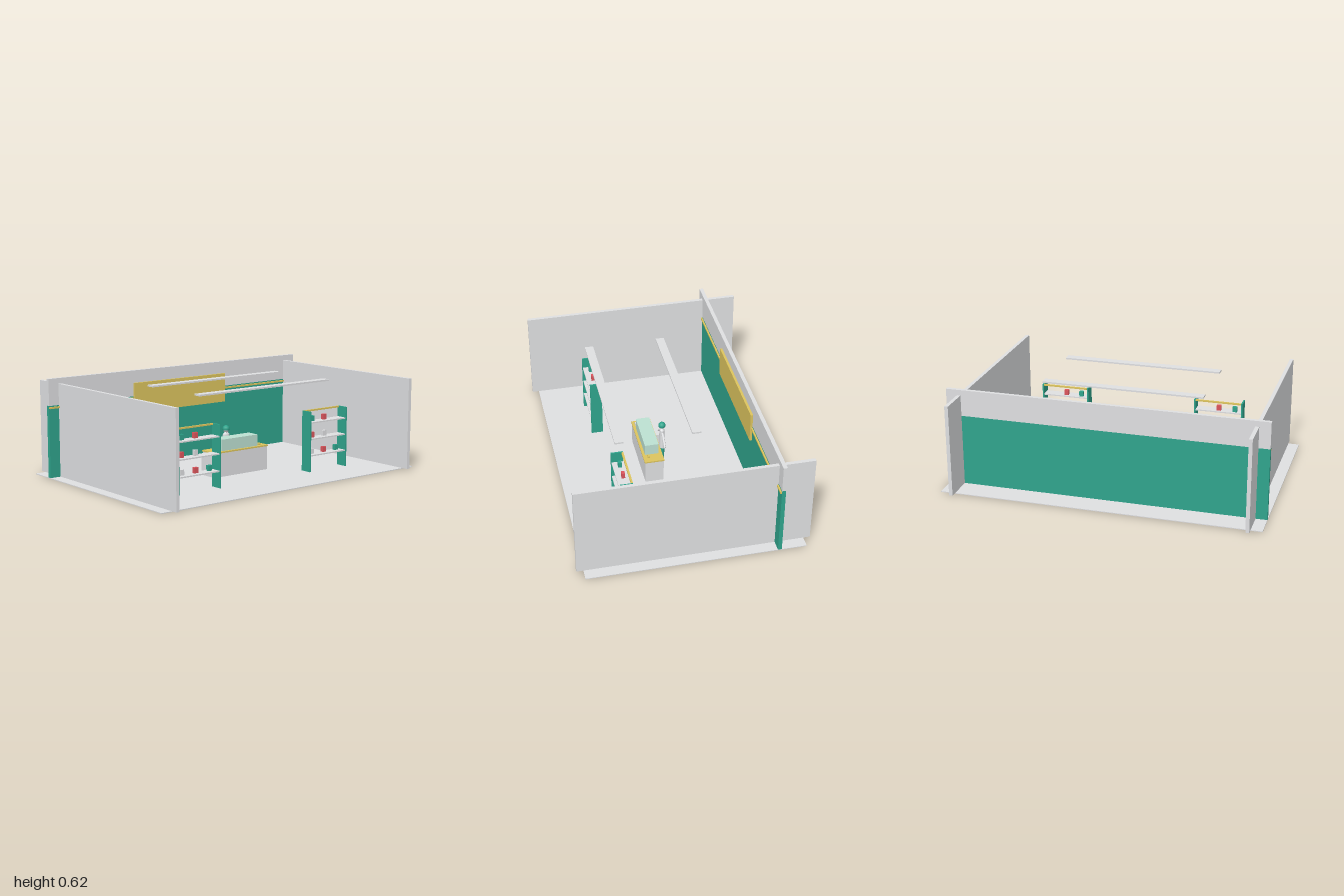
import * as THREE from 'three';

const mat = (name, color) => {
  const m = new THREE.MeshStandardMaterial({ color });
  m.name = name;
  return m;
};

export function createModel() {
  const white = mat('white', 0xdedfe1);
  const green = mat('green', 0x2fa48c);
  const gold = mat('gold', 0xdcc45e);
  const mint = mat('mint', 0xbce0d2);
  const red = mat('red', 0xdc555c);

  const model = new THREE.Group();
  model.name = 'shop';

  const add = (parent, name, geometry, material, x = 0, y = 0, z = 0) => {
    const mesh = new THREE.Mesh(geometry, material);
    mesh.name = name;
    mesh.position.set(x, y, z);
    parent.add(mesh);
    return mesh;
  };
  // Box given by its limits on each axis
  const box = (parent, name, material, [x0, x1], [y0, y1], [z0, z1]) =>
    add(parent, name, new THREE.BoxGeometry(x1 - x0, y1 - y0, z1 - z0), material,
      (x0 + x1) / 2, (y0 + y1) / 2, (z0 + z1) / 2);
  const group = (name) => {
    const g = new THREE.Group();
    g.name = name;
    model.add(g);
    return g;
  };

  // Room shell
  const room = group('room');
  box(room, 'floor', white, [-1, 1], [0, 0.005], [-0.667, 0.667]);
  for (const s of [-1, 1]) {
    const x = s * 0.918;
    box(room, s > 0 ? 'leftWall' : 'rightWall', white, [x - 0.0115, x + 0.0115], [0.005, 0.587], [-0.708, 0.708]);
  }
  box(room, 'backWallLower', green, [-1, 1], [0.005, 0.455], [-0.513, -0.489]);
  box(room, 'backWallUpper', white, [-1, 1], [0.455, 0.622], [-0.513, -0.489]);
  box(room, 'wallTrim', gold, [-1, 1], [0.437, 0.448], [-0.489, -0.479]);
  box(room, 'signBoard', gold, [-0.372, 0.372], [0.35, 0.542], [-0.489, -0.474]);

  // Hanging light strips
  for (const z of [-0.103, 0.364])
    box(room, 'lightStrip', white, [-0.516, 0.516], [0.573, 0.583], [z - 0.027, z + 0.027]);

  // Sales counter with display case
  const counter = group('counter');
  box(counter, 'counterBody', white, [-0.214, 0.214], [0.005, 0.155], [0.03, 0.147]);
  box(counter, 'counterTop', gold, [-0.218, 0.218], [0.155, 0.164], [0.026, 0.151]);
  box(counter, 'displayCase', mint, [-0.144, 0.144], [0.164, 0.236], [0.047, 0.135]);
  box(counter, 'cardHolder', white, [-0.188, -0.164], [0.164, 0.18], [0.126, 0.134]);
  box(counter, 'bell', gold, [0.159, 0.179], [0.164, 0.174], [0.112, 0.124]);
  box(counter, 'storageBox', white, [-0.182, -0.11], [0.005, 0.11], [-0.027, 0.026]);

  // Shopkeeper behind the counter
  const keeper = group('shopkeeper');
  const z = -0.005;
  for (const s of [-1, 1]) {
    add(keeper, 'leg', new THREE.CylinderGeometry(0.013, 0.011, 0.1, 8), green, s * 0.016, 0.055, z);
    const arm = add(keeper, 'arm', new THREE.CylinderGeometry(0.008, 0.007, 0.1, 8), white, s * 0.056, 0.19, z);
    arm.rotation.z = s * 0.9;
  }
  add(keeper, 'torso', new THREE.CylinderGeometry(0.024, 0.031, 0.13, 10), white, 0, 0.17, z).scale.z = 0.65;
  add(keeper, 'shoulders', new THREE.CylinderGeometry(0.009, 0.024, 0.016, 10), white, 0, 0.243, z).scale.z = 0.65;
  add(keeper, 'head', new THREE.SphereGeometry(0.02, 12, 8), white, 0, 0.266, z);
  add(keeper, 'hair', new THREE.SphereGeometry(0.023, 12, 6, 0, Math.PI * 2, 0, Math.PI * 0.62), green, 0, 0.269, z);

  // Two shelf units with goods, listed row by row from the bottom
  const goods = [[white, red, green], [red, white], [green, red]];
  for (const cx of [-0.517, 0.517]) {
    const unit = group(cx > 0 ? 'leftShelfUnit' : 'rightShelfUnit');
    for (const s of [-1, 1]) {
      const x = cx + s * 0.154;
      box(unit, 'upright', green, [x - 0.005, x + 0.005], [0.005, 0.39], [0.316, 0.391]);
    }
    box(unit, 'topRail', gold, [cx - 0.149, cx + 0.149], [0.38, 0.39], [0.314, 0.326]);
    goods.forEach((row, i) => {
      const y = 0.104 + i * 0.105;
      box(unit, 'shelf', white, [cx - 0.149, cx + 0.149], [y, y + 0.008], [0.319, 0.388]);
      row.forEach((material, j) => {
        const x = cx + (j - 1) * 0.104;
        box(unit, 'product', material, [x - 0.014, x + 0.014], [y + 0.008, y + 0.042], [0.335, 0.356]);
      });
    });
  }
  return model;
}
